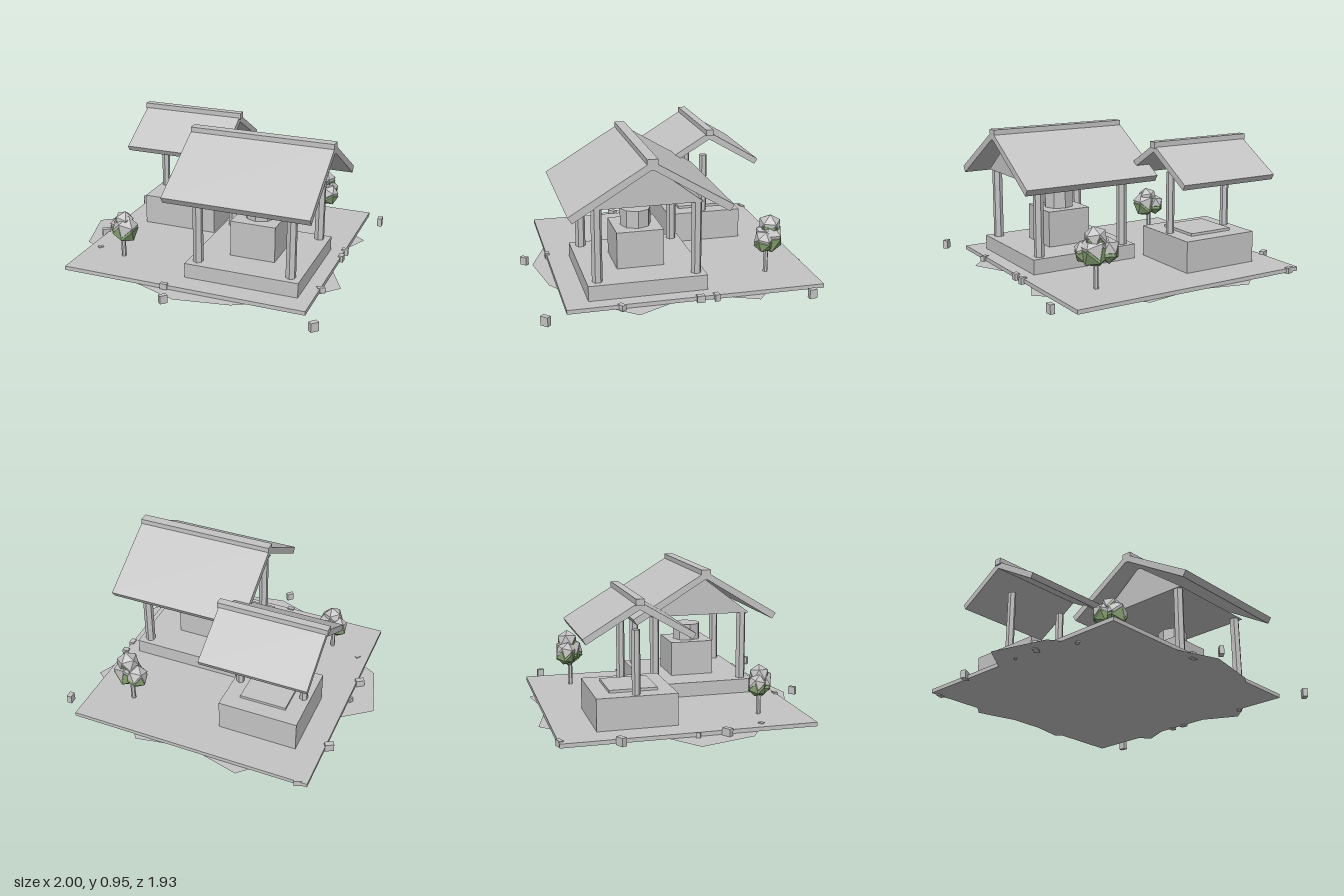
import * as THREE from 'three';

const stone = new THREE.MeshStandardMaterial({ color: 0xc4c4c4 });
stone.name = 'paleGrey';
const leaf = new THREE.MeshStandardMaterial({ color: 0x8ba878 });
leaf.name = 'leafGreen';

function add(parent, name, geometry, material, x = 0, y = 0, z = 0) {
  // Non-indexed normals keep every facet flat
  const g = geometry.index ? geometry.toNonIndexed() : geometry;
  g.computeVertexNormals();
  const mesh = new THREE.Mesh(g, material);
  mesh.name = name;
  mesh.position.set(x, y, z);
  parent.add(mesh);
  return mesh;
}

// Box given by its min and max on each axis
function block(parent, name, x0, x1, y0, y1, z0, z1) {
  return add(parent, name, new THREE.BoxGeometry(x1 - x0, y1 - y0, z1 - z0), stone,
    (x0 + x1) / 2, (y0 + y1) / 2, (z0 + z1) / 2);
}

// Upright prism from y0 to y1
function post(parent, name, x, z, y0, y1, r, sides) {
  return add(parent, name, new THREE.CylinderGeometry(r, r, y1 - y0, sides), stone, x, (y0 + y1) / 2, z);
}

// Extrudes a [z, y] outline along x, from x0 to x1
function alongX(parent, name, points, x0, x1, zc) {
  const shape = new THREE.Shape(points.map(([z, y]) => new THREE.Vector2(-z, y)));
  const g = new THREE.ExtrudeGeometry(shape, { depth: x1 - x0, bevelEnabled: false });
  g.rotateY(Math.PI / 2);
  return add(parent, name, g, stone, x0, 0, zc);
}

// Two sloping slabs that meet at the ridge
function roof(parent, x0, x1, zc, half, eave, apex, inset, drop) {
  const a = [half, eave], b = [half - inset, eave - drop];
  const under = apex - 0.05;
  alongX(parent, 'roofFrontSlope', [a, [0, apex], [0, under], b], x0, x1, zc);
  alongX(parent, 'roofBackSlope', [[-a[0], a[1]], [-b[0], b[1]], [0, under], [0, apex]], x0, x1, zc);
}

// Leafy crown of faceted lumps, each with a pale cap
function tree(parent, x, z, trunkTop, lumps) {
  const group = new THREE.Group();
  group.name = 'tree';
  parent.add(group);
  post(group, 'trunk', x, z, 0.035, trunkTop, 0.016, 6);
  lumps.forEach(([lx, ly, lz, r], i) => {
    const lump = add(group, 'foliage', new THREE.IcosahedronGeometry(r, 0), leaf, lx, ly - 0.008, lz);
    lump.rotation.set(0.3 * i, 0.9 * i, 0.2);
    const cap = add(group, 'foliageCap', new THREE.IcosahedronGeometry(r, 0), stone, lx, ly + 0.014, lz);
    cap.rotation.copy(lump.rotation);
  });
}

export function createModel() {
  const model = new THREE.Group();
  model.name = 'courtyard';

  // Ground: thin square plate over an uneven flat patch
  block(model, 'groundPlate', -0.81, 0.87, 0.013, 0.04, -0.905, 0.77);
  const outline = [[-0.345, -0.97], [0.03, -0.875], [0.39, -0.94], [0.5, -0.8], [0.94, -0.45],
    [0.77, -0.07], [0.98, 0.34], [0.75, 0.6], [0.4, 0.815], [0.03, 0.88], [-0.4, 0.72],
    [-0.69, 0.43], [-0.89, 0.31], [-1, -0.07], [-0.7, -0.3], [-0.6, -0.72]];
  const patch = new THREE.ShapeGeometry(new THREE.Shape(outline.map(([x, z]) => new THREE.Vector2(x, -z))));
  patch.rotateX(-Math.PI / 2);
  add(model, 'groundPatch', patch, stone, 0, 0.011, 0);
  const patchBelow = patch.clone().rotateX(Math.PI);
  patchBelow.scale(1, 1, -1);
  // Mirroring flips the winding, so the copy faces down after reversing it
  const index = patch.index.array;
  patchBelow.setIndex(Array.from(index).reverse());
  patchBelow.setAttribute('position', patch.getAttribute('position').clone());
  add(model, 'groundPatchUnderside', patchBelow, stone, 0, 0.0105, 0);

  // Large pavilion
  const large = new THREE.Group();
  large.name = 'largePavilion';
  model.add(large);
  block(large, 'platform', 0, 0.775, 0.035, 0.14, -0.15, 0.62);
  for (const x of [0.07, 0.705])
    for (const z of [0.55, -0.09]) post(large, 'post', x, z, 0.14, 0.63, 0.034, 6);
  block(large, 'pedestal', 0.232, 0.542, 0.14, 0.385, 0.08, 0.39);
  post(large, 'pedestalDrum', 0.388, 0.235, 0.385, 0.5, 0.102, 8);
  alongX(large, 'gable', [[0.362, 0.62], [0, 0.895], [-0.362, 0.62]], 0.035, 0.74, 0.235);
  roof(large, -0.097, 0.875, 0.235, 0.515, 0.633, 0.942, 0.026, 0.041);
  block(large, 'ridgeBeam', -0.097, 0.875, 0.885, 0.955, 0.2, 0.268);

  // Small pavilion
  const small = new THREE.Group();
  small.name = 'smallPavilion';
  model.add(small);
  block(small, 'base', -0.635, -0.09, 0.035, 0.252, -0.645, -0.115);
  block(small, 'baseTop', -0.52, -0.2, 0.252, 0.27, -0.54, -0.22);
  for (const x of [-0.59, -0.135]) post(small, 'post', x, -0.38, 0.25, 0.67, 0.028, 6);
  roof(small, -0.722, 0.005, -0.383, 0.357, 0.652, 0.866, 0.02, 0.036);
  block(small, 'ridgeBeam', -0.732, 0.015, 0.842, 0.885, -0.41, -0.357);

  // Trees
  tree(model, -0.52, 0.47, 0.22, [[-0.495, 0.245, 0.485, 0.09], [-0.51, 0.29, 0.475, 0.07],
    [-0.56, 0.24, 0.445, 0.065]]);
  tree(model, 0.575, -0.61, 0.25, [[0.59, 0.285, -0.62, 0.1], [0.585, 0.355, -0.625, 0.078],
    [0.51, 0.285, -0.65, 0.075], [0.635, 0.275, -0.57, 0.068]]);

  // Loose stones: x, z, width, height, depth, turn
  const stones = [[-0.745, -0.895, 0.055, 0.04, 0.03, 0.35], [-0.83, -0.53, 0.06, 0.055, 0.035, 0.5],
    [-0.83, 0.15, 0.06, 0.055, 0.035, 0.6], [-0.825, -0.04, 0.03, 0.04, 0.015, 1],
    [-0.735, 0.41, 0.035, 0.042, 0.025, 1], [-0.08, 0.765, 0.048, 0.045, 0.028, 0],
    [-0.01, 0.93, 0.05, 0.055, 0.03, 0.8], [0.965, 0.91, 0.055, 0.06, 0.033, 0.8],
    [0.98, -0.78, 0.033, 0.06, 0.05, 0.05], [0.87, -0.18, 0.045, 0.045, 0.032, 0.1],
    [0.87, -0.075, 0.035, 0.045, 0.05, 0], [0.872, 0.43, 0.05, 0.04, 0.03, 0.5]];
  for (const [x, z, w, h, d, turn] of stones)
    add(model, 'looseStone', new THREE.BoxGeometry(w, h, d), stone, x, 0.005 + h / 2, z).rotation.y = turn;

  return model;
}
